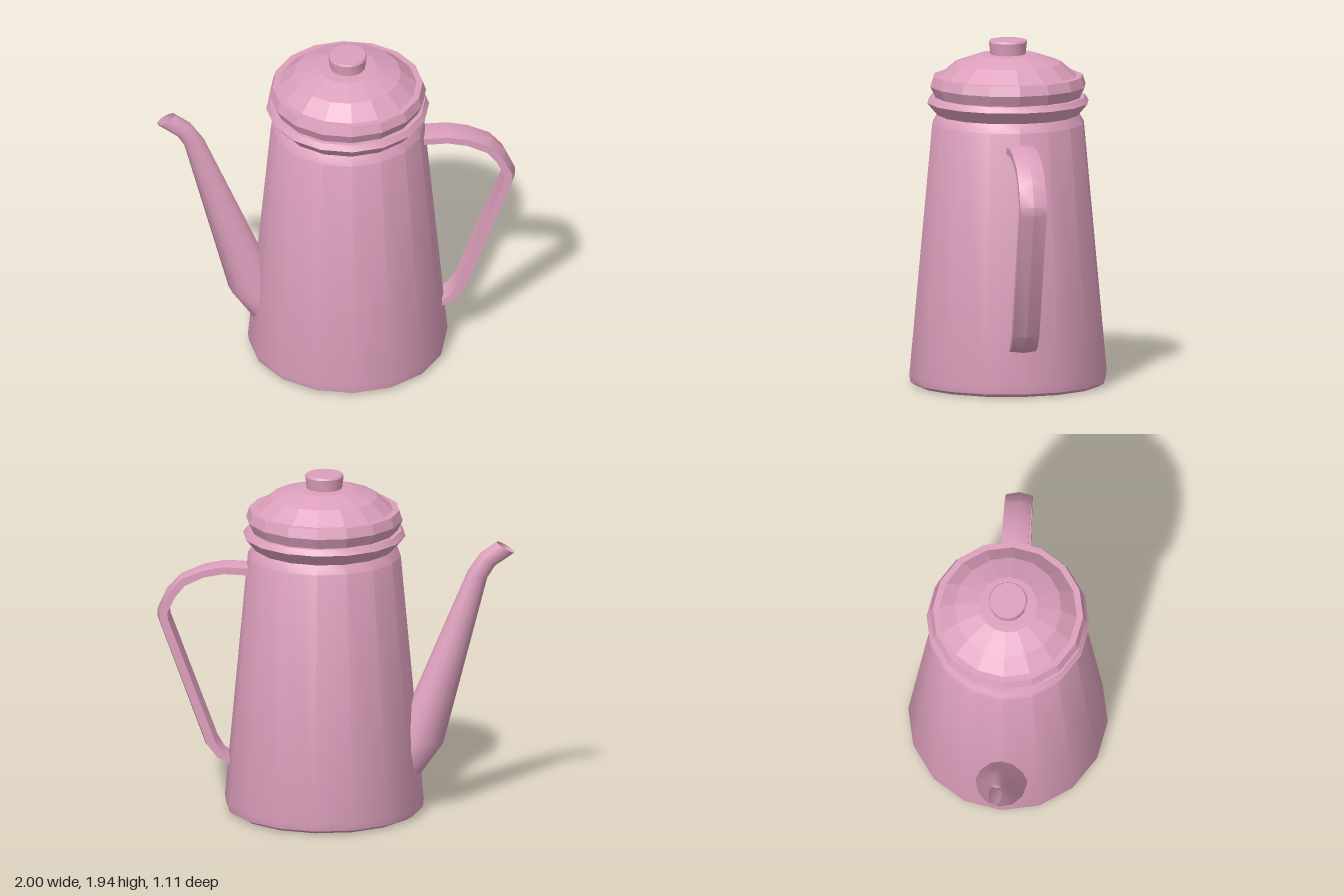
import * as THREE from 'three';
import { toCreasedNormals } from 'three/addons/utils/BufferGeometryUtils.js';

const PINK = 0xdc9fbc;
const BODY_X = 0.065;
const SIDES = 16;

function makeMesh(name, geometry, crease, side = THREE.FrontSide) {
  const material = new THREE.MeshStandardMaterial({ color: PINK, side });
  const mesh = new THREE.Mesh(toCreasedNormals(geometry, crease), material);
  mesh.name = name;
  return mesh;
}

// Turned part around the pot's axis, profile as [radius, height] from bottom to top
function turned(name, profile, crease) {
  const points = profile.map(([r, y]) => new THREE.Vector2(r, y));
  const mesh = makeMesh(name, new THREE.LatheGeometry(points, SIDES), crease);
  mesh.position.x = BODY_X;
  return mesh;
}

// Skin over equal-sized closed rings of [x, y, z] points
function loft(rings, capped) {
  const n = rings[0].length;
  const last = (rings.length - 1) * n;
  const index = [];
  for (let i = 0; i < rings.length - 1; i++) {
    for (let j = 0; j < n; j++) {
      const k = (j + 1) % n;
      const a = i * n + j, b = i * n + k, c = b + n, d = a + n;
      index.push(a, b, d, b, c, d);
    }
  }
  if (capped) {
    for (let j = 1; j < n - 1; j++) {
      index.push(0, j + 1, j, last, last + j, last + j + 1);
    }
  }
  const geometry = new THREE.BufferGeometry();
  geometry.setAttribute('position', new THREE.Float32BufferAttribute(rings.flat(2), 3));
  geometry.setIndex(index);
  return geometry;
}

function makeSpout() {
  // Each section: outer x, y, inner x, y, half width in z; base to lip
  const sections = [
    [-0.48, 0.22, -0.25, 0.33, 0.145],
    [-0.6, 0.39, -0.35, 0.47, 0.142],
    [-0.847, 1.36, -0.737, 1.395, 0.047],
    [-0.89, 1.43, -0.807, 1.5, 0.043],
    [-1.0, 1.51, -0.9, 1.57, 0.038],
  ];
  const n = 12;
  const rings = sections.map(([ox, oy, ix, iy, w]) =>
    Array.from({ length: n }, (_, j) => {
      const t = (j / n) * Math.PI * 2;
      const f = 0.5 + 0.5 * Math.cos(t);
      return [ox + (ix - ox) * f, oy + (iy - oy) * f, -w * Math.sin(t)];
    }));
  return makeMesh('spout', loft(rings, false), 0.8, THREE.DoubleSide);
}

function makeHandle() {
  // Each station: outer x, y, inner x, y; top end to bottom end
  const stations = [
    [0.48, 1.41, 0.48, 1.355],
    [0.62, 1.415, 0.62, 1.36],
    [0.74, 1.392, 0.73, 1.338],
    [0.87, 1.335, 0.84, 1.285],
    [0.945, 1.25, 0.895, 1.215],
    [1.0, 1.13, 0.938, 1.125],
    [0.998, 1.08, 0.933, 1.085],
    [0.73, 0.355, 0.67, 0.385],
    [0.665, 0.28, 0.63, 0.32],
    [0.57, 0.235, 0.57, 0.28],
  ];
  const w = 0.075;
  // The outside is ridged along the middle, the inside is flat
  const rings = stations.map(([ox, oy, ix, iy]) => {
    const ex = ox + (ix - ox) * 0.28, ey = oy + (iy - oy) * 0.28;
    return [[ex, ey, -w], [ox, oy, 0], [ex, ey, w], [ix, iy, w], [ix, iy, -w]];
  });
  return makeMesh('handle', loft(rings, true), 0.5);
}

export function createModel() {
  const group = new THREE.Group();
  group.name = 'coffeePot';

  group.add(turned('body', [
    [0, 0], [0.52, 0], [0.55, 0.018], [0.557, 0.06],
    [0.428, 1.47], [0.398, 1.52],
  ], 0.5));

  // Flared rim the lid sits on
  group.add(turned('rim', [
    [0.398, 1.52], [0.455, 1.588], [0.434, 1.62], [0.39, 1.62],
  ], 0.45));

  group.add(turned('lid', [
    [0.38, 1.615], [0.41, 1.62], [0.438, 1.68], [0.42, 1.735], [0.385, 1.735],
    [0.298, 1.81], [0.165, 1.855], [0, 1.862],
  ], 0.1));

  group.add(turned('lidKnob', [
    [0.099, 1.855], [0.108, 1.925], [0.102, 1.936], [0, 1.936],
  ], 0.5));

  group.add(makeSpout(), makeHandle());
  return group;
}
